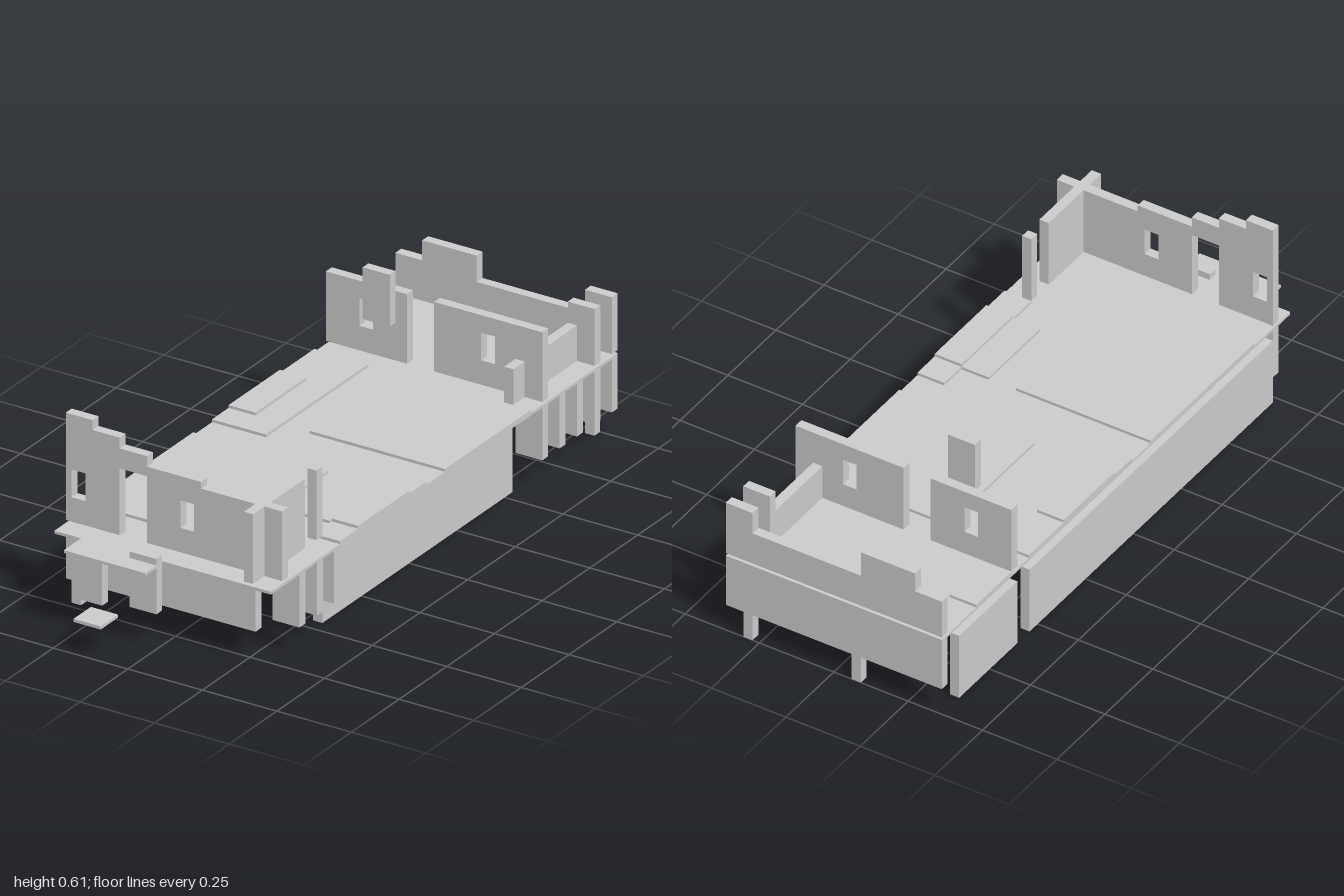
import * as THREE from 'three';

const mat = new THREE.MeshStandardMaterial({ color: 0xcccccc, flatShading: true });
const L = -0.363, R = 0.363, T = 0.031;
const FLOOR = 0.264, BASE = 0.273, UPPER = 0.282; // floor top, wall foot, upper plate top

export function createModel() {
  const model = new THREE.Group();

  // Box given by its minimum and maximum along each axis
  const box = (name, x0, x1, y0, y1, z0, z1) => {
    const m = new THREE.Mesh(new THREE.BoxGeometry(x1 - x0, y1 - y0, z1 - z0), mat);
    m.position.set((x0 + x1) / 2, (y0 + y1) / 2, (z0 + z1) / 2);
    m.name = name;
    model.add(m);
  };

  // Upright wall facing z, cut from an outline with rectangular windows
  const wall = (name, outline, z0, windows = []) => {
    const shape = new THREE.Shape(outline.map(([x, y]) => new THREE.Vector2(x, y)));
    for (const x of windows) {
      const hole = [[x, 0.35], [x, 0.437], [x + 0.046, 0.437], [x + 0.046, 0.35]];
      shape.holes.push(new THREE.Path(hole.map(([a, b]) => new THREE.Vector2(a, b))));
    }
    const geo = new THREE.ExtrudeGeometry(shape, { depth: T, bevelEnabled: false });
    const m = new THREE.Mesh(geo, mat);
    m.position.z = z0;
    m.name = name;
    model.add(m);
  };

  // Floor with front porch and the floating step
  box('floor', L, R, 0.255, FLOOR, -1, 0.818);
  box('porchFloor', -0.273, 0, 0.255, FLOOR, 0.818, 0.909);
  box('porchStep', -0.182, -0.091, 0.1, 0.11, 0.909, 1);
  box('porchRail', -0.091, 0, 0.11, 0.284, 0.82, 0.85);
  box('porchSupport', -0.273, -0.182, 0.089, 0.255, 0.82, 0.85);

  // Thin raised plates lying on the floor
  box('floorPlate', L, -0.182, FLOOR, BASE, -0.545, -0.008);
  box('floorPlate', -0.091, R, FLOOR, BASE, -0.545, -0.095);
  box('floorPlate', L, 0.09, FLOOR, BASE, 0.09, 0.632);
  box('floorPlate', 0.273, R, FLOOR, BASE, 0, 0.455);
  box('floorPlate', 0.182, 0.273, FLOOR, BASE, 0.09, 0.36);
  box('floorPlate', L, -0.273, FLOOR, BASE, -0.82, -0.635);
  box('upperPlate', L, -0.273, BASE, UPPER, -0.364, -0.095);
  box('upperPlate', 0.273, R, BASE, UPPER, 0.09, 0.36);

  // Stepped front wall with doorway and two windows
  wall('frontWall', [
    [L, BASE], [-0.182, BASE], [-0.182, 0.483], [-0.091, 0.483], [-0.091, BASE],
    [R, BASE], [R, 0.492], [0.091, 0.492], [0.091, 0.513], [-0.091, 0.513],
    [-0.091, 0.546], [-0.182, 0.546], [-0.182, 0.58], [-0.273, 0.58], [-0.273, 0.611], [L, 0.611],
  ], 0.727, [-0.343, 0.022]);
  box('frontSideWall', 0.273, 0.273 + T, BASE, 0.492, 0.545, 0.818);
  box('frontPost', 0.273, 0.273 + T, BASE, 0.492, 0.455, 0.485);

  // Rear cross walls on either side of a passage, with a hanging panel
  const rect = (x0, x1, y0, y1) => [[x0, y0], [x1, y0], [x1, y1], [x0, y1]];
  wall('crossWallRight', rect(L, -0.091, BASE, 0.492), -0.636, [-0.251]);
  wall('crossWallLeft', rect(0, R, BASE, 0.492), -0.636, [0.158]);
  box('hangingPanel', -0.182, -0.091, 0.427, 0.59, -0.545, -0.515);
  box('rearSideWall', 0.273, 0.273 + T, BASE, 0.385, -0.88, -0.545);
  box('rearEndPanel', 0.273, R, BASE, 0.452, -0.909, -0.879);

  // Stepped back wall
  wall('backWall', [
    [L, BASE], [R, BASE], [R, 0.452], [0.273, 0.452], [0.273, 0.38], [-0.091, 0.38],
    [-0.091, 0.463], [-0.273, 0.463], [-0.273, 0.4], [L, 0.4],
  ], -1);

  // Skirts below the floor at front and back, with rear legs
  box('frontSkirt', L, 0.273, 0.089, 0.255, 0.727, 0.757);
  box('backSkirt', L, R, 0.089, 0.255, -1, -0.97);
  for (const x of [-0.091, 0.273]) box('rearLeg', x, x + T, 0, 0.089, -1, -0.97);

  // Row of ribs under the left edge, outside the base wall
  for (const z of [0.636, 0.545, 0.455, -0.636, -0.727, -0.818, -0.909]) {
    box('edgeRib', 0.273, R, 0.089, 0.255, z, z + T);
  }

  // Long base walls and the separate rear base wall
  box('baseWallLeft', 0.273, 0.273 + T, 0, 0.22, -0.542, 0.455);
  box('baseWallRight', L, L + T, 0, 0.22, -0.542, 0.727);
  box('rearBaseWall', L, L + T, 0, 0.22, -0.909, -0.606);
  box('groundStep', L + T, -0.273, 0, 0.01, -0.818, -0.727);

  return model;
}
